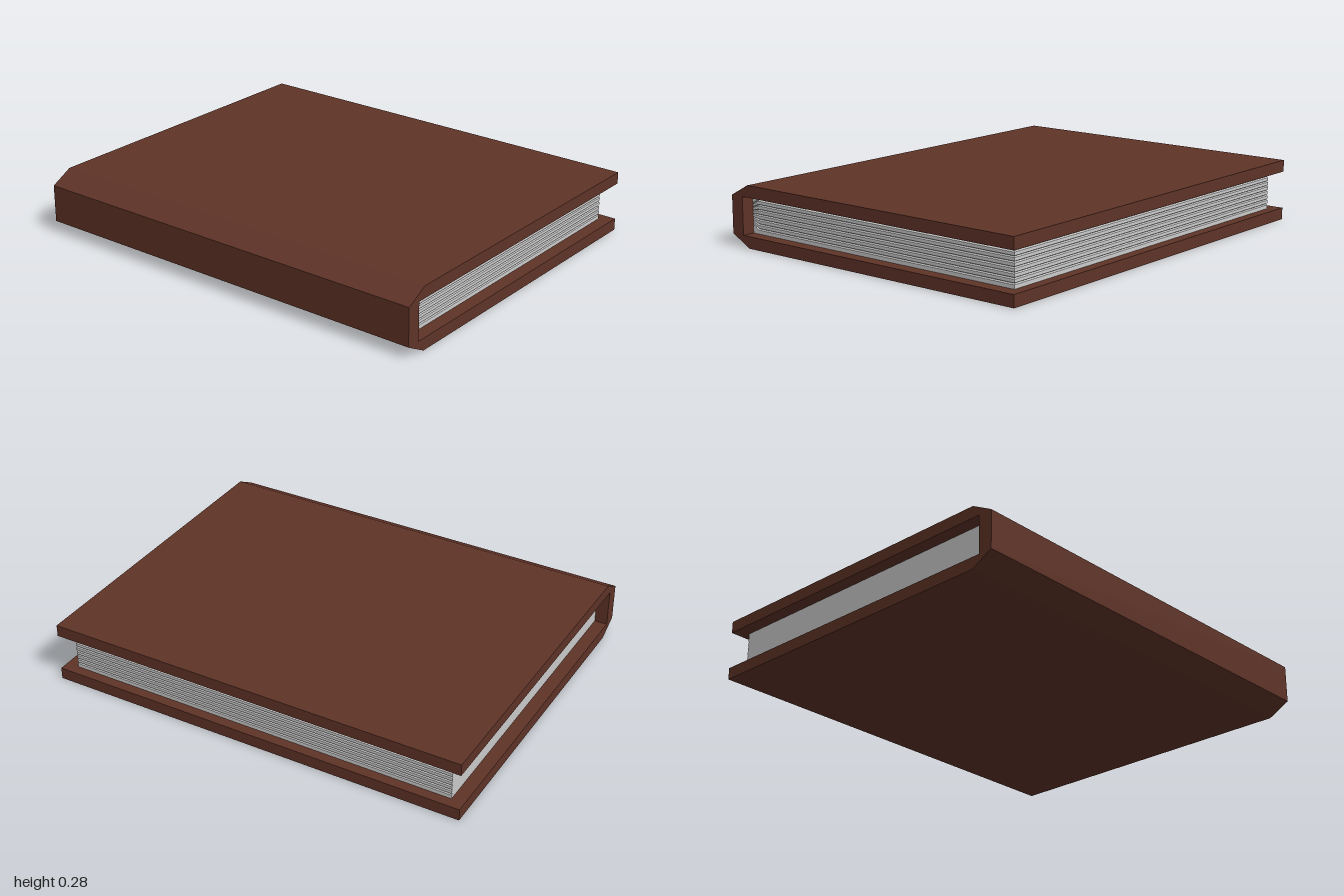
import * as THREE from 'three';

const X = 0.807, H = 0.285, BOARD = 0.055; // half width, book height, board thickness
const SPINE = -0.74, BEND = -0.705, EDGE = 0.76, DEPTH = 0.94; // page block extents

// One C-shaped section (boards plus chamfered spine) drawn along z
function makeCover() {
  const shape = new THREE.Shape([
    [-X, BOARD], [BEND, 0], [X, 0], [X, BOARD], [SPINE, BOARD],
    [SPINE, H - BOARD], [X, H - BOARD], [X, H], [BEND, H], [-X, H - BOARD],
  ].map(([x, y]) => new THREE.Vector2(x, y)));
  const geometry = new THREE.ExtrudeGeometry(shape, { depth: 2, bevelEnabled: false });
  geometry.translate(0, 0, -1);
  const cover = new THREE.Mesh(geometry, new THREE.MeshStandardMaterial({ color: 0x5f3327 }));
  cover.name = 'cover';
  return cover;
}

// Page block: stacked outlines, pinched in at the grooves between page sections
function makePages() {
  const sections = 8, groove = 0.004, inset = 0.007;
  const low = BOARD, high = H - BOARD, mid = H / 2;
  const levels = [[low, 0]];
  for (let i = 1; i < sections; i++) {
    const y = low + (high - low) * i / sections;
    levels.push([y - groove, 0], [y, inset], [y + groove, 0]);
  }
  levels.push([high, 0]);

  // Grooves close up towards the middle where the pages meet the spine
  const rings = levels.map(([y, d]) => {
    const ySpine = y === low || y === high ? y : mid + (y - mid) * 0.7;
    return [
      [SPINE, ySpine, DEPTH - d], [BEND, y, DEPTH - d], [EDGE - d, y, DEPTH - d],
      [EDGE - d, y, -DEPTH], [BEND, y, -DEPTH], [SPINE, ySpine, -DEPTH],
    ];
  });

  const positions = [];
  for (let i = 0; i < rings.length - 1; i++) {
    for (let j = 0; j < 5; j++) {
      const a = rings[i][j], b = rings[i][j + 1], c = rings[i + 1][j + 1], d = rings[i + 1][j];
      positions.push(...a, ...b, ...c, ...a, ...c, ...d);
    }
  }
  const geometry = new THREE.BufferGeometry();
  geometry.setAttribute('position', new THREE.Float32BufferAttribute(positions, 3));
  geometry.computeVertexNormals();
  const pages = new THREE.Mesh(geometry, new THREE.MeshStandardMaterial({ color: 0xcccccc, flatShading: true }));
  pages.name = 'pages';
  return pages;
}

export function createModel() {
  const book = new THREE.Group();
  book.name = 'book';
  book.add(makeCover(), makePages());
  return book;
}
